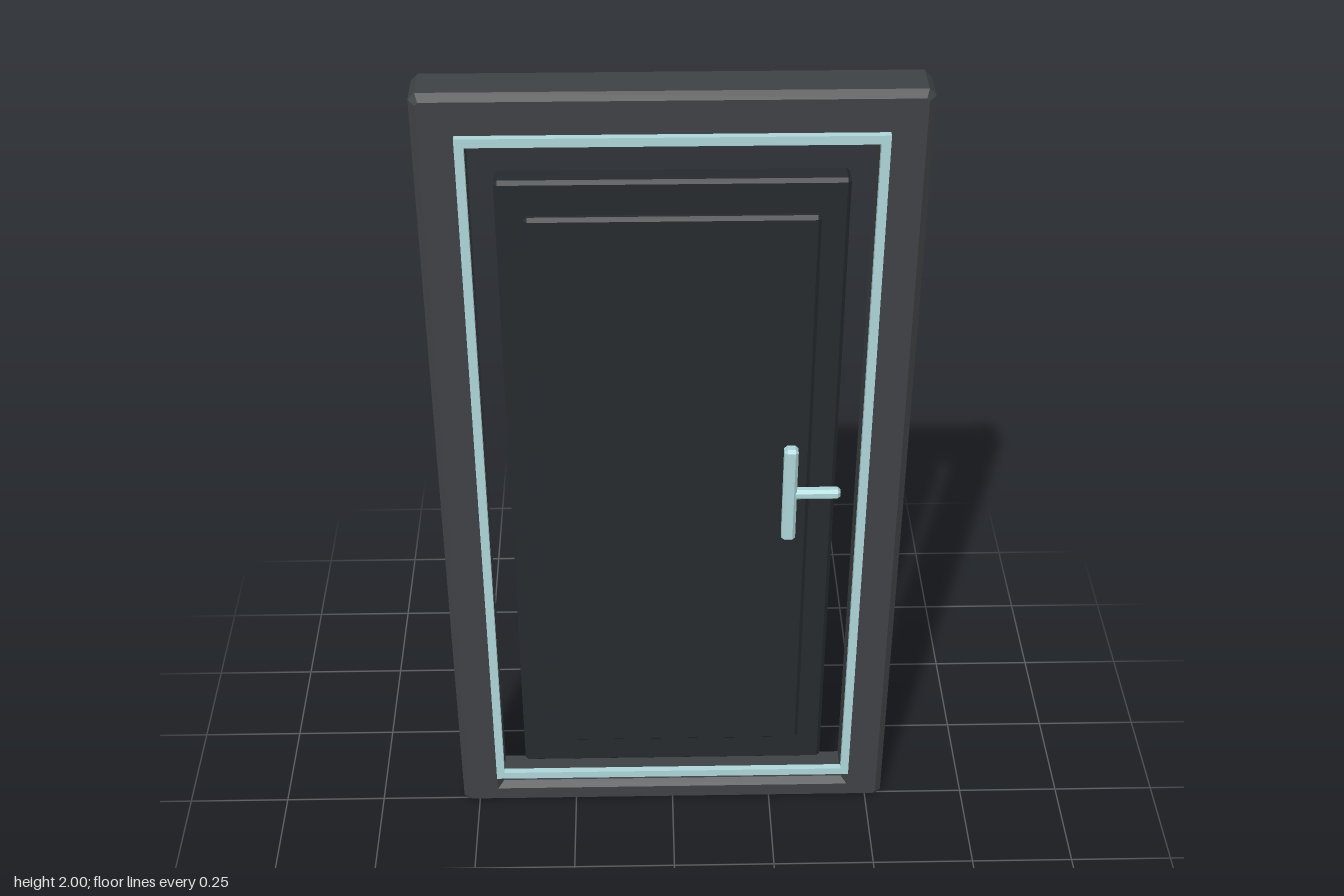
import * as THREE from 'three';
import { ConvexGeometry } from 'three/addons/geometries/ConvexGeometry.js';

const paint = (color) => new THREE.MeshStandardMaterial({ color, flatShading: true });

// Box given by its min and max corners, with all edges chamfered by b
function chamferBox(name, min, max, b, material) {
  const half = min.map((v, i) => (max[i] - v) / 2);
  const points = [];
  for (const sx of [-1, 1]) for (const sy of [-1, 1]) for (const sz of [-1, 1]) {
    for (let axis = 0; axis < 3; axis++) {
      const p = half.map((h, i) => (i === axis ? h : h - b));
      points.push(new THREE.Vector3(sx * p[0], sy * p[1], sz * p[2]));
    }
  }
  const mesh = new THREE.Mesh(new ConvexGeometry(points), material);
  mesh.position.set(...min.map((v, i) => (v + max[i]) / 2));
  mesh.name = name;
  return mesh;
}

// Bevelled door frame with a rectangular opening
function frame(material) {
  const w = 0.54, h = 2, b = 0.015;
  const points = (list) => list.map(([x, y]) => new THREE.Vector2(x, y));
  const shape = new THREE.Shape(points([
    [-w + b, 0], [w - b, 0], [w, b], [w, h - b],
    [w - b, h], [-w + b, h], [-w, h - b], [-w, b],
  ]));
  shape.holes.push(new THREE.Path(points([
    [-0.435, 0.065], [-0.435, 1.89], [0.435, 1.89], [0.435, 0.065],
  ])));
  const geometry = new THREE.ExtrudeGeometry(shape, {
    depth: 0.12 - 2 * b, bevelThickness: b, bevelSize: b, bevelOffset: -b, bevelSegments: 1,
  });
  geometry.translate(0, 0, -0.1 + b);
  const mesh = new THREE.Mesh(geometry, material);
  mesh.name = 'doorFrame';
  return mesh;
}

export function createModel() {
  const door = new THREE.Group();
  door.name = 'door';
  const frameGrey = paint(0x3f4245);
  const panelGrey = paint(0x272b2f);
  const paleBlue = paint(0xb0d8dc);

  door.add(frame(frameGrey));

  // Door leaf with a raised field on its front
  door.add(chamferBox('doorLeaf', [-0.375, 0.15, -0.035], [0.375, 1.805, 0.025], 0.008, panelGrey));
  door.add(chamferBox('raisedPanel', [-0.315, 0.23, 0], [0.315, 1.725, 0.04], 0.008, panelGrey));

  // Thin light trim around the opening
  const trim = new THREE.Group();
  trim.name = 'lightTrim';
  const bar = (name, w, h, x, y) => {
    const mesh = new THREE.Mesh(new THREE.BoxGeometry(w, h, 0.016), paleBlue);
    mesh.position.set(x, y, 0.028);
    mesh.name = name;
    trim.add(mesh);
  };
  bar('trimLeft', 0.02, 1.81, 0.44, 1.005);
  bar('trimRight', 0.02, 1.81, -0.44, 1.005);
  bar('trimTop', 0.9, 0.02, 0, 1.9);
  bar('trimBottom', 0.9, 0.02, 0, 0.11);
  door.add(trim);

  // Handle: upright plate with a lever
  const handle = new THREE.Group();
  handle.name = 'handle';
  handle.add(
    chamferBox('handlePlate', [0.25, 0.905, 0.065], [0.282, 1.16, 0.097], 0.007, paleBlue),
    chamferBox('handleLever', [0.262, 1.02, 0.068], [0.382, 1.046, 0.094], 0.007, paleBlue),
  );
  door.add(handle);
  return door;
}
